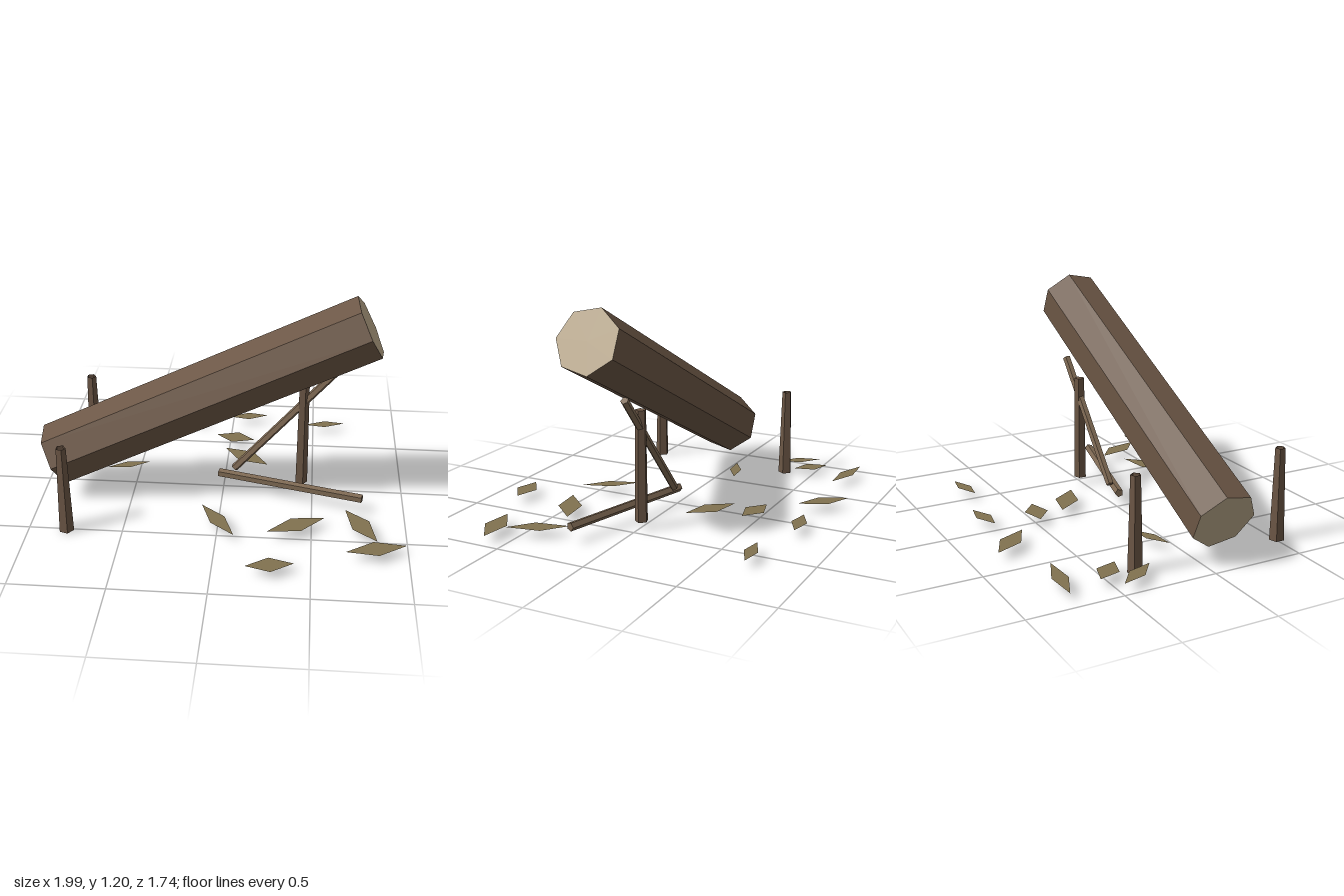
import * as THREE from 'three';

const mat = (color) => new THREE.MeshStandardMaterial({ color, flatShading: true, side: THREE.DoubleSide });
const bark = mat(0x6b5645);
const cutWood = mat(0xb8a688);
const stickWood = mat(0x7d6852);
const leafBrown = mat(0x81724f);

// Tapered five-sided stick between two points
function stick(name, from, to, r0, r1, material, open = false) {
  const a = new THREE.Vector3(...from), b = new THREE.Vector3(...to);
  const dir = b.clone().sub(a);
  const geo = new THREE.CylinderGeometry(r1, r0, dir.length(), 5, 1, open);
  geo.rotateY(Math.PI / 2);
  const mesh = new THREE.Mesh(geo, material);
  mesh.quaternion.setFromUnitVectors(new THREE.Vector3(0, 1, 0), dir.normalize());
  mesh.position.copy(a).add(b).multiplyScalar(0.5);
  mesh.name = name;
  return mesh;
}

// Flat parallelogram leaf from three corners
function leaf([ax, az, bx, bz, cx, cz]) {
  const geo = new THREE.BufferGeometry();
  const y = 0.05;
  geo.setAttribute('position', new THREE.Float32BufferAttribute(
    [ax, y, az, ax + cx - bx, y, az + cz - bz, cx, y, cz, bx, y, bz], 3));
  geo.setIndex([0, 1, 2, 0, 2, 3]);
  geo.computeVertexNormals();
  const mesh = new THREE.Mesh(geo, leafBrown);
  mesh.name = 'leaf';
  return mesh;
}

export function createModel() {
  const model = new THREE.Group();
  model.name = 'deadfallTrap';

  // Heavy seven-sided log, propped up at a slant
  const log = new THREE.Mesh(
    new THREE.CylinderGeometry(0.176, 0.176, 1.88, 7), [bark, cutWood, cutWood]);
  log.position.set(-0.078, 0.636, 0.094);
  log.rotation.z = THREE.MathUtils.degToRad(-64);
  log.name = 'log';
  model.add(log);

  // Guide posts either side of the low end
  for (const z of [-0.332, 0.508]) {
    model.add(stick('guidePost', [-0.798, 0, z], [-0.798, 0.5, z], 0.04, 0.027, bark, true));
  }

  // Trigger: upright, slanted lever and bait bar
  model.add(stick('uprightStick', [0.435, 0.045, -0.012], [0.435, 0.645, -0.012], 0.036, 0.03, bark));
  model.add(stick('leverStick', [0.06, 0.115, -0.012], [0.6, 0.73, -0.012], 0.022, 0.022, stickWood));
  model.add(stick('baitBar', [-0.025, 0.087, 0], [0.77, 0.087, 0.215], 0.024, 0.024, stickWood));

  // Scattered leaves
  const leaves = new THREE.Group();
  leaves.name = 'leaves';
  [
    [-0.95, -0.755, -0.77, -0.765, -0.61, -0.695],
    [-0.38, -0.87, -0.23, -0.8, -0.165, -0.65],
    [-0.02, -0.74, 0.095, -0.8, 0.215, -0.775],
    [0.45, -0.67, 0.57, -0.725, 0.69, -0.705],
    [-0.885, -0.565, -0.77, -0.53, -0.74, -0.415],
    [-0.98, -0.49, -0.87, -0.405, -0.835, -0.275],
    [-0.08, -0.505, 0.05, -0.54, 0.145, -0.455],
    [-0.015, -0.345, 0.15, -0.31, 0.24, -0.17],
    [-0.68, -0.065, -0.57, -0.14, -0.44, -0.15],
    [-0.095, 0.285, 0.035, 0.39, 0.095, 0.56],
    [0.265, 0.515, 0.39, 0.38, 0.57, 0.36],
    [0.68, 0.275, 0.805, 0.375, 0.84, 0.56],
    [0.675, 0.665, 0.82, 0.565, 0.99, 0.585],
    [0.17, 0.825, 0.285, 0.745, 0.415, 0.785],
  ].forEach((corners) => leaves.add(leaf(corners)));
  model.add(leaves);

  return model;
}
